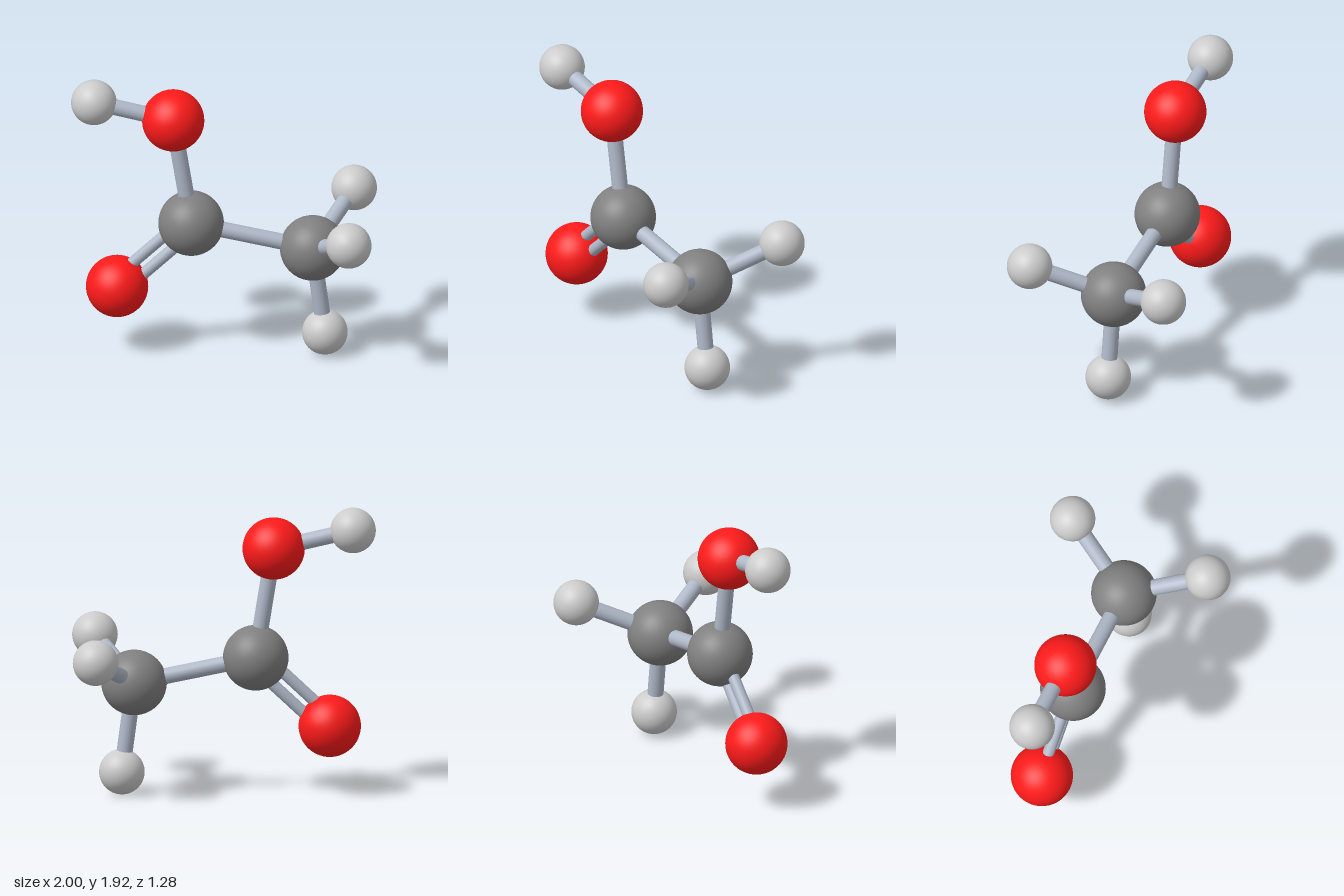
import * as THREE from 'three';

const material = (color) => new THREE.MeshStandardMaterial({ color });

export function createModel() {
  const model = new THREE.Group();
  model.name = 'molecule';

  const elements = {
    carbon: { radius: 0.216, mat: material(0x808080) },
    oxygen: { radius: 0.205, mat: material(0xff1a1a) },
    hydrogen: { radius: 0.15, mat: material(0xcccccc) },
  };
  const bondMaterial = material(0xb0b9c9);

  // name: [element, x, y, z]
  const atoms = {
    carboxylCarbon: ['carbon', -0.21, 0.915, 0],
    methylCarbon: ['carbon', 0.59, 0.75, 0],
    hydroxylOxygen: ['oxygen', -0.328, 1.647, 0],
    carbonylOxygen: ['oxygen', -0.697, 0.458, 0],
    hydroxylHydrogen: ['hydrogen', -0.85, 1.768, 0],
    methylHydrogenFront: ['hydrogen', 0.845, 0.977, 0.49],
    methylHydrogenBack: ['hydrogen', 0.845, 0.977, -0.49],
    methylHydrogenBottom: ['hydrogen', 0.67, 0.152, 0],
  };

  // Atoms: smooth spheres
  const position = {};
  for (const [name, [element, x, y, z]] of Object.entries(atoms)) {
    const { radius, mat } = elements[element];
    const atom = new THREE.Mesh(new THREE.SphereGeometry(radius, 48, 32), mat);
    atom.name = name;
    atom.position.set(x, y, z);
    position[name] = atom.position;
    model.add(atom);
  }

  // Bonds: rods between atom centres, shifted sideways in the xy plane
  function addBond(name, from, to, radius = 0.053, offset = 0) {
    const a = position[from], b = position[to];
    const dir = b.clone().sub(a);
    const length = dir.length();
    dir.normalize();
    const rod = new THREE.Mesh(new THREE.CylinderGeometry(radius, radius, length, 24), bondMaterial);
    rod.name = name;
    rod.position.copy(a).add(b).multiplyScalar(0.5);
    rod.position.addScaledVector(new THREE.Vector3(-dir.y, dir.x, 0), offset);
    rod.quaternion.setFromUnitVectors(new THREE.Vector3(0, 1, 0), dir);
    model.add(rod);
  }

  addBond('carbonBond', 'carboxylCarbon', 'methylCarbon');
  addBond('carbonOxygenBond', 'carboxylCarbon', 'hydroxylOxygen');
  addBond('hydroxylBond', 'hydroxylOxygen', 'hydroxylHydrogen');
  for (const side of ['Front', 'Back', 'Bottom']) {
    addBond('methylBond' + side, 'methylCarbon', 'methylHydrogen' + side);
  }
  // Double bond: two thinner parallel rods
  addBond('doubleBondLower', 'carboxylCarbon', 'carbonylOxygen', 0.039, 0.053);
  addBond('doubleBondUpper', 'carboxylCarbon', 'carbonylOxygen', 0.039, -0.053);

  return model;
}
